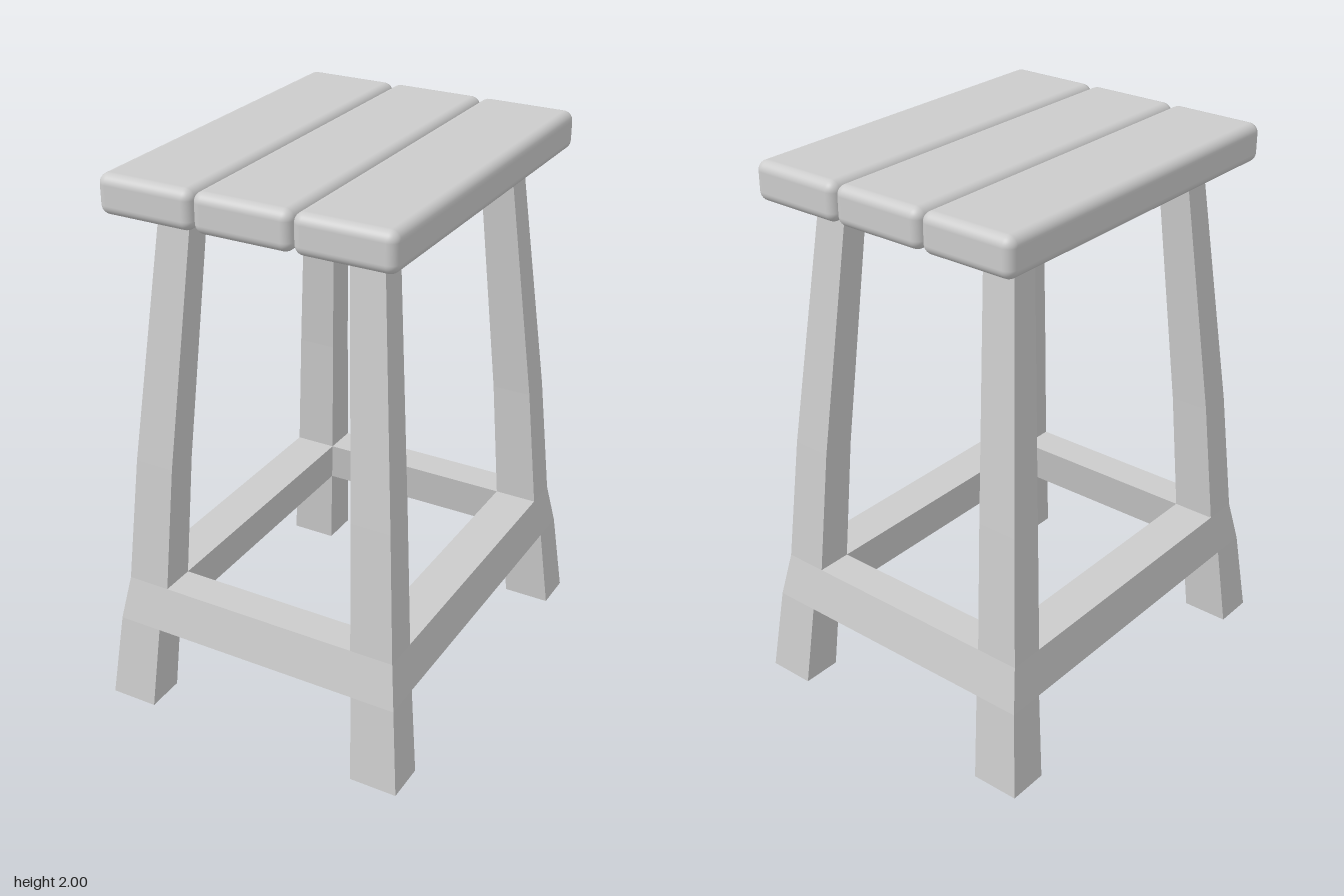
import * as THREE from 'three';
import { RoundedBoxGeometry } from 'three/addons/geometries/RoundedBoxGeometry.js';

// Leg profile: height, inner and outer x, inner and outer z
const LEVELS = [
  { y: 0, x: [0.41, 0.585], z: [0.58, 0.727] },
  { y: 0.318, x: [0.39, 0.553], z: [0.556, 0.69] },
  { y: 0.48, x: [0.37, 0.528], z: [0.526, 0.655] },
  { y: 0.95, x: [0.348, 0.494], z: [0.495, 0.615] },
  { y: 1.9, x: [0.287, 0.407], z: [0.41, 0.508] },
];
const RAIL_LEVELS = LEVELS.slice(1, 3);

// Place t (0..1) across the corner on one side, or between the corners when side is 0
function across([inner, outer], side, t) {
  if (side === 0) return THREE.MathUtils.lerp(-inner, inner, t);
  return side > 0
    ? THREE.MathUtils.lerp(inner, outer, t)
    : THREE.MathUtils.lerp(-outer, -inner, t);
}

// A box whose rows of vertices follow the given levels
function taperedBar(levels, sideX, sideZ) {
  const rows = levels.length - 1;
  const geometry = new THREE.BoxGeometry(1, 1, 1, 1, rows, 1);
  const p = geometry.attributes.position;
  for (let i = 0; i < p.count; i++) {
    const level = levels[Math.round((p.getY(i) + 0.5) * rows)];
    p.setXYZ(
      i,
      across(level.x, sideX, p.getX(i) + 0.5),
      level.y,
      across(level.z, sideZ, p.getZ(i) + 0.5),
    );
  }
  const flat = geometry.toNonIndexed();
  flat.computeVertexNormals();
  return flat;
}

export function createModel() {
  const model = new THREE.Group();
  model.name = 'stool';
  const wood = new THREE.MeshStandardMaterial({ color: 0xcccccc });
  const flatWood = new THREE.MeshStandardMaterial({ color: 0xcccccc, flatShading: true });

  const add = (name, geometry, material) => {
    const mesh = new THREE.Mesh(geometry, material);
    mesh.name = name;
    model.add(mesh);
    return mesh;
  };

  // Seat: three rounded planks side by side
  ['right', 'middle', 'left'].forEach((side, i) => {
    const plank = add(`${side}SeatPlank`, new RoundedBoxGeometry(0.353, 0.138, 1.352, 5, 0.035), wood);
    plank.position.set((i - 1) * 0.354, 1.931, 0);
  });

  // Four splayed legs at the corners, with rails flush between them
  const xNames = { '-1': 'right', 0: '', 1: 'left' };
  const zNames = { '-1': 'back', 0: '', 1: 'front' };
  for (const sx of [-1, 0, 1]) {
    for (const sz of [-1, 0, 1]) {
      if (sx === 0 && sz === 0) continue;
      const isLeg = sx !== 0 && sz !== 0;
      const place = isLeg
        ? zNames[sz] + (sx < 0 ? 'Right' : 'Left')
        : zNames[sz] + xNames[sx];
      add(
        place + (isLeg ? 'Leg' : 'Rail'),
        taperedBar(isLeg ? LEVELS : RAIL_LEVELS, sx, sz),
        flatWood,
      );
    }
  }

  return model;
}
